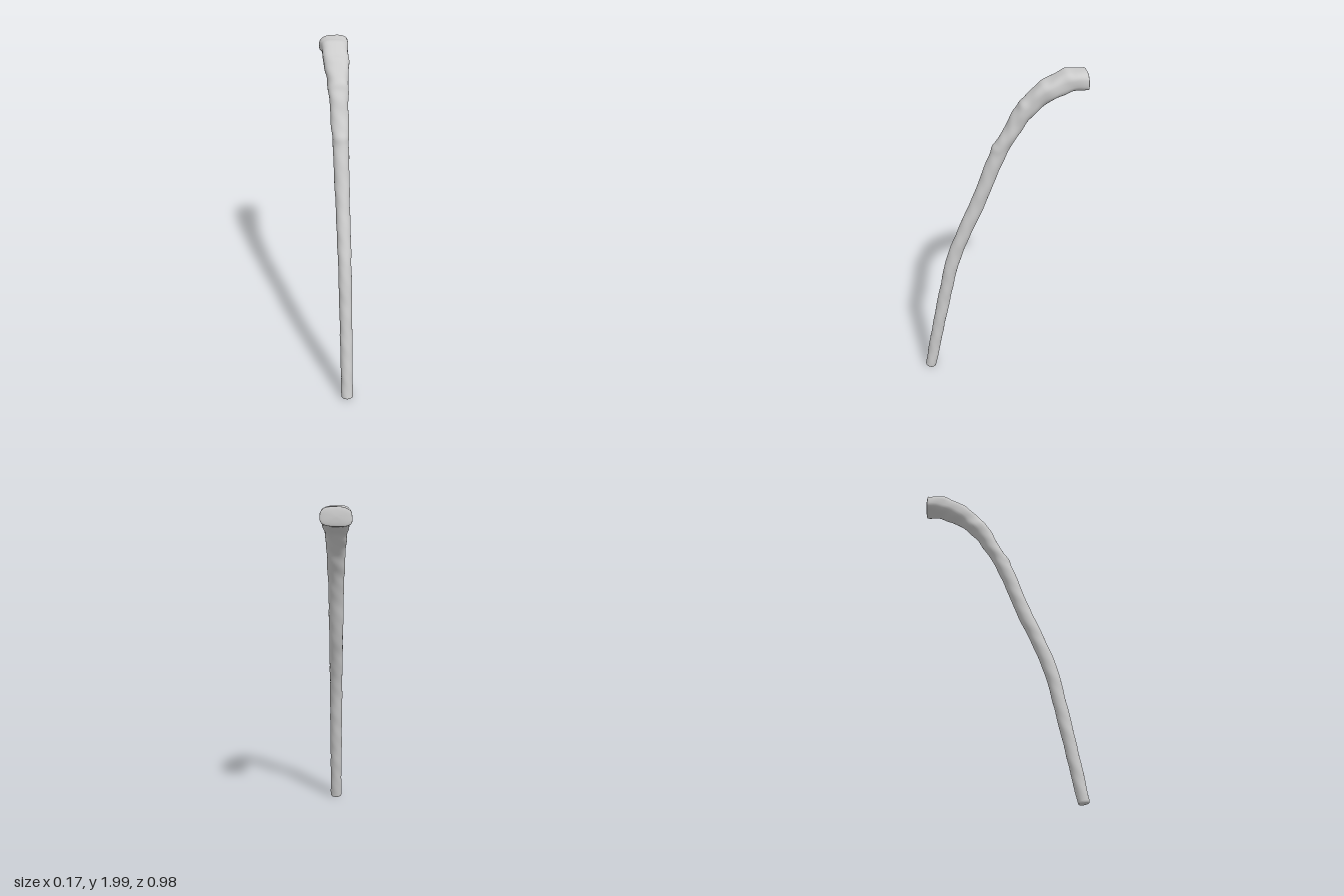
import * as THREE from 'three';

// Stations along the stick: [z, y, half width in x, half depth across the bend]
const STATIONS = [
  [0.453, 0.0, 0.035, 0.034], [0.415, 0.2, 0.036, 0.036], [0.375, 0.4, 0.037, 0.038],
  [0.333, 0.6, 0.038, 0.039], [0.287, 0.8, 0.039, 0.041], [0.212, 1.0, 0.040, 0.042],
  [0.125, 1.2, 0.042, 0.043], [0.05, 1.4, 0.045, 0.044], [0.005, 1.51, 0.047, 0.045],
  [-0.055, 1.62, 0.050, 0.045], [-0.12, 1.73, 0.056, 0.048], [-0.185, 1.81, 0.062, 0.053],
  [-0.262, 1.872, 0.069, 0.056], [-0.345, 1.917, 0.077, 0.054], [-0.415, 1.932, 0.082, 0.052],
  [-0.482, 1.936, 0.086, 0.052],
];
const SIDES = 32;
const ROWS = 220;

// Gentle knobbly bark, stronger towards the handle
function bark(t, a) {
  const s = t * 60;
  const wave = Math.sin(s * 1.3 + 2 * Math.sin(a)) * 0.4
    + Math.sin(s * 0.71 + a * 2 + 1) * 0.35
    + Math.sin(s * 2.1 - a * 3) * 0.25;
  return wave * (0.0018 + 0.0035 * THREE.MathUtils.smoothstep(t, 0.6, 0.85));
}

// Knots standing out on the outer side of the bend: [position, height]
const KNOTS = [[0.705, 0.006], [0.835, 0.007], [0.9, 0.005], [0.955, 0.006]];
function knot(t, a) {
  const side = Math.max(0, Math.sin(a));
  return KNOTS.reduce((sum, [p, h]) => sum + h * side * Math.exp(-(((t - p) / 0.01) ** 2)), 0);
}

function stickGeometry() {
  const path = new THREE.CatmullRomCurve3(STATIONS.map(([z, y]) => new THREE.Vector3(0, y, z)));
  const size = new THREE.CatmullRomCurve3(STATIONS.map(([, , w, d]) => new THREE.Vector3(w, d, 0)));

  // Row list: rounded foot, shaft, rounded handle end
  const rows = [];
  const ends = [0.001, 0.3, 0.6, 0.8, 0.9, 0.96];
  ends.forEach((k) => rows.push([0, k, 0.012 * (1 - Math.sqrt(1 - k ** 6))]));
  for (let i = 0; i <= ROWS; i++) {
    const t = i / ROWS;
    rows.push([t, 1, t < 0.006 ? 0.012 * (1 - t / 0.006) : 0]);
  }
  [...ends].reverse().forEach((k) => rows.push([1, k, 0.010 * Math.sqrt(1 - k * k)]));

  const positions = [];
  const index = [];
  rows.forEach(([t, scale, shift]) => {
    const u = path.getUtoTmapping(t);
    const c = path.getPoint(u);
    const d = path.getTangent(u);
    const s = size.getPoint(u);
    const normal = new THREE.Vector3(0, -d.z, d.y);
    c.addScaledVector(d, shift);
    // The section goes from round to a soft rectangle at the handle
    const power = THREE.MathUtils.lerp(1, 0.68, THREE.MathUtils.smoothstep(t, 0.72, 0.98));
    for (let j = 0; j < SIDES; j++) {
      const a = (j / SIDES) * Math.PI * 2;
      const ca = Math.cos(a), sa = Math.sin(a);
      const bump = bark(t, a) + knot(t, a);
      const x = scale * (s.x + bump) * Math.sign(ca) * Math.abs(ca) ** power;
      const n = scale * (s.y + bump) * Math.sign(sa) * Math.abs(sa) ** power;
      // The foot is cut level with the ground
      const y = c.y + normal.y * n;
      positions.push(x, Math.max(0, y), c.z + normal.z * n);
    }
  });
  for (let i = 0; i < rows.length - 1; i++) {
    for (let j = 0; j < SIDES; j++) {
      const a = i * SIDES + j;
      const b = i * SIDES + ((j + 1) % SIDES);
      index.push(a, a + SIDES, b, b, a + SIDES, b + SIDES);
    }
  }
  const geometry = new THREE.BufferGeometry();
  geometry.setAttribute('position', new THREE.Float32BufferAttribute(positions, 3));
  geometry.setIndex(index);
  geometry.computeVertexNormals();
  return geometry;
}

export function createModel() {
  const group = new THREE.Group();
  group.name = 'walkingStick';
  const stick = new THREE.Mesh(stickGeometry(), new THREE.MeshStandardMaterial({ color: 0xcccccc }));
  stick.name = 'bentWoodenStick';
  group.add(stick);
  return group;
}
